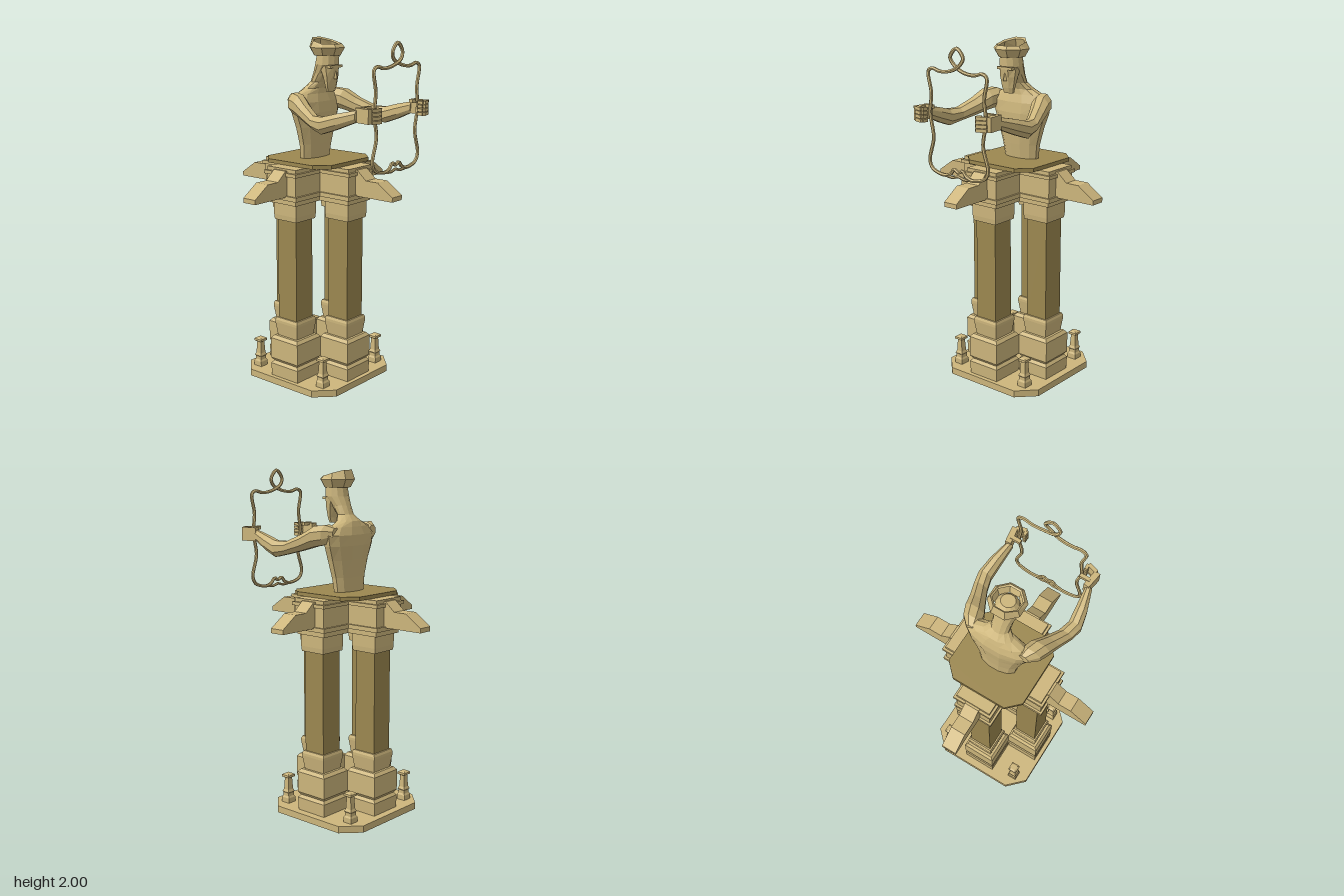
import * as THREE from 'three';

const light = new THREE.MeshStandardMaterial({ color: 0xcdb67c, flatShading: true, side: THREE.DoubleSide });
const dark = new THREE.MeshStandardMaterial({ color: 0x9c8850, flatShading: true, side: THREE.DoubleSide });

function add(parent, name, geometry, material = light, x = 0, y = 0, z = 0) {
  const mesh = new THREE.Mesh(geometry, material);
  mesh.name = name;
  mesh.position.set(x, y, z);
  parent.add(mesh);
  return mesh;
}

const box = (w, h, d) => new THREE.BoxGeometry(w, h, d);

// Square moulding from [halfWidth, y] pairs, bottom to top, closed at both ends
function squareTurned(profile) {
  const pts = profile.map(([r, y]) => new THREE.Vector2(r * Math.SQRT2, y));
  pts.unshift(new THREE.Vector2(0, pts[0].y));
  pts.push(new THREE.Vector2(0, pts[pts.length - 1].y));
  return new THREE.LatheGeometry(pts, 4).rotateY(Math.PI / 4);
}

// Flat slab: plan outline extruded upward
function slab(points, height) {
  const shape = new THREE.Shape(points.map(([x, z]) => new THREE.Vector2(x, z)));
  return new THREE.ExtrudeGeometry(shape, { depth: height, bevelEnabled: false }).rotateX(-Math.PI / 2);
}

const octagon = (w, d, c) => [[w - c, -d], [w, c - d], [w, d - c], [w - c, d], [c - w, d], [-w, d - c], [-w, c - d], [c - w, -d]];
const cross = (l, w) => [[w, -l], [w, -w], [l, -w], [l, w], [w, w], [w, l], [-w, l], [-w, w], [-l, w], [-l, -w], [-w, -w], [-w, -l]];

// Skin over elliptical rings [along, c1, c2, r1, r2]; rings lie across y or z
function loft(rings, axis, sides = 10) {
  const pos = [], idx = [];
  const put = (along, u, v) => (axis === 'y' ? pos.push(u, along, v) : pos.push(u, v, along));
  for (const [a, c1, c2, r1, r2] of rings) {
    for (let i = 0; i < sides; i++) {
      const t = (i + 0.5) / sides * Math.PI * 2;
      const s = Math.sin(t), c = Math.cos(t);
      put(a, c1 + r1 * (axis === 'y' ? s : c), c2 + r2 * (axis === 'y' ? c : s));
    }
  }
  const n = rings.length;
  for (const end of [rings[0], rings[n - 1]]) put(end[0], end[1], end[2]);
  for (let i = 0; i < sides; i++) {
    const j = (i + 1) % sides;
    for (let k = 0; k < n - 1; k++) {
      const a = k * sides + i, b = k * sides + j;
      idx.push(a, b, b + sides, a, b + sides, a + sides);
    }
    idx.push(n * sides, j, i, n * sides + 1, (n - 1) * sides + i, (n - 1) * sides + j);
  }
  const g = new THREE.BufferGeometry();
  g.setAttribute('position', new THREE.Float32BufferAttribute(pos, 3));
  g.setIndex(idx);
  g.computeVertexNormals();
  return g;
}

function buildPedestal() {
  const g = new THREE.Group();
  g.name = 'pedestal';
  add(g, 'basePlate', slab(octagon(0.34, 0.34, 0.1), 0.04), light, 0.01, 0, -0.02);

  // Four columns in a plus arrangement
  const plinth = squareTurned([[0.1, 0.04], [0.103, 0.115], [0.09, 0.132], [0.103, 0.15], [0.103, 0.272], [0.088, 0.29]]);
  const foot = squareTurned([[0.073, 0.29], [0.084, 0.37], [0.084, 0.385], [0.078, 0.4]]);
  const capital = squareTurned([[0.081, 0.99], [0.084, 1.02], [0.084, 1.09]]);
  for (let i = 0; i < 4; i++) {
    const a = i * Math.PI / 2;
    const column = new THREE.Group();
    column.name = 'column';
    column.position.set(Math.sin(a) * 0.205, 0, Math.cos(a) * 0.205 - 0.01);
    add(column, 'columnPlinth', plinth);
    add(column, 'columnFoot', foot);
    add(column, 'columnShaft', box(0.138, 0.6, 0.138), dark, 0, 0.695, 0);
    add(column, 'columnCapital', capital);
    g.add(column);
  }

  // Small posts at the diagonal corners of the base
  const post = squareTurned([[0.028, 0.04], [0.028, 0.07], [0.022, 0.08], [0.022, 0.1], [0.026, 0.105],
    [0.019, 0.12], [0.015, 0.19], [0.027, 0.197], [0.027, 0.21], [0.016, 0.217]]);
  for (const sx of [-1, 1]) for (const sz of [-1, 1]) add(g, 'cornerPost', post, light, sx * 0.245 + 0.007, 0, sz * 0.245 - 0.02);

  // Stacked cross-shaped courses: [bottom, top, arm length, arm half width]
  const courses = [[1.09, 1.12, 0.305, 0.1], [1.12, 1.145, 0.326, 0.12], [1.145, 1.255, 0.314, 0.108],
    [1.255, 1.275, 0.326, 0.12], [1.275, 1.296, 0.312, 0.106]];
  for (const [y0, y1, l, w] of courses) add(g, 'crossCourse', slab(cross(l, w), y1 - y0), light, 0, y0, -0.015);

  // Stepped brackets, one on each arm end
  const outline = [[0.2, 1.138], [0.567, 1.138], [0.567, 1.164], [0.466, 1.233], [0.386, 1.233], [0.325, 1.286], [0.2, 1.286]];
  const bracket = new THREE.ExtrudeGeometry(new THREE.Shape(outline.map(([x, y]) => new THREE.Vector2(x, y))),
    { depth: 0.088, bevelEnabled: false }).translate(0, 0, -0.044);
  for (let i = 0; i < 4; i++) {
    const m = add(g, 'bracket', bracket, light, 0, 0, -0.015);
    m.rotation.y = i * Math.PI / 2;
  }
  add(g, 'topPlate', slab(octagon(0.24, 0.24, 0.075), 0.022), dark, 0.007, 1.296, -0.02);
  return g;
}

function buildArm(side) {
  const g = new THREE.Group();
  g.name = side > 0 ? 'leftArm' : 'rightArm';
  const rings = [[-0.075, 0.16, 1.65, 0.03, 0.035], [-0.03, 0.18, 1.645, 0.058, 0.06], [0.03, 0.2, 1.635, 0.062, 0.062],
    [0.1, 0.228, 1.6, 0.052, 0.05], [0.19, 0.265, 1.565, 0.045, 0.04], [0.26, 0.282, 1.557, 0.042, 0.05],
    [0.35, 0.27, 1.585, 0.036, 0.046], [0.46, 0.247, 1.62, 0.022, 0.034]];
  add(g, 'arm', loft(rings.map(([a, x, y, r, s]) =>
    [a, side * x + 0.012 * Math.max(0, a), y, r, s]), 'z', 8));

  // Fist closed around the frame
  const hand = new THREE.Group();
  hand.name = 'hand';
  hand.position.set(side * 0.25 + 0.015, 1.625, 0.5);
  add(hand, 'palm', box(0.034, 0.078, 0.1), light, 0, 0, 0).rotation.y = side * 0.15;
  for (let i = 0; i < 4; i++) {
    const y = (i - 1.5) * 0.021;
    add(hand, 'finger', box(0.06, 0.018, 0.022), light, -side * 0.028, y, 0.058).rotation.y = side * 0.3;
    add(hand, 'fingertip', box(0.018, 0.017, 0.032), light, -side * 0.058, y, 0.05);
  }
  add(hand, 'thumb', box(0.06, 0.02, 0.022), light, -side * 0.035, 0.035, -0.012);
  g.add(hand);
  return g;
}

function buildFigure() {
  const g = new THREE.Group();
  g.name = 'figure';
  // Torso, neck and skull as one skin
  add(g, 'body', loft([[1.31, 0.012, -0.045, 0.115, 0.052], [1.4, 0.012, -0.04, 0.128, 0.06], [1.5, 0.012, -0.038, 0.158, 0.07],
    [1.58, 0.012, -0.042, 0.188, 0.075], [1.64, 0.012, -0.045, 0.2, 0.07], [1.685, 0.012, -0.045, 0.155, 0.056],
    [1.715, 0.012, -0.04, 0.088, 0.05], [1.75, 0.012, -0.016, 0.053, 0.043], [1.8, 0.012, 0.012, 0.055, 0.052],
    [1.85, 0.012, 0.045, 0.068, 0.067], [1.9, 0.012, 0.05, 0.065, 0.062], [1.93, 0.012, 0.055, 0.04, 0.038]], 'y', 12));

  // Tapering face with brow and nose ridge
  add(g, 'face', loft([[1.7, 0.012, 0.07, 0.034, 0.016], [1.73, 0.012, 0.073, 0.043, 0.022],
    [1.79, 0.012, 0.07, 0.056, 0.037], [1.845, 0.012, 0.06, 0.064, 0.056]], 'y', 8));
  add(g, 'brow', box(0.104, 0.014, 0.03), light, 0.012, 1.84, 0.097);
  add(g, 'nose', new THREE.ConeGeometry(0.014, 0.06, 4), light, 0.012, 1.8, 0.105);

  // Open flared headband, rising at the back
  const bandPts = [[0.078, 1.9], [0.104, 1.945], [0.086, 1.965], [0.076, 1.958], [0.09, 1.942], [0.07, 1.9]];
  const band = new THREE.LatheGeometry(bandPts.map(([r, y]) => new THREE.Vector2(r, y)), 8).rotateY(Math.PI / 8);
  const p = band.attributes.position;
  for (let i = 0; i < p.count; i++) {
    if (p.getY(i) > 1.95) p.setY(i, p.getY(i) + 0.03 * Math.max(0, 0.2 - p.getZ(i) / 0.09));
  }
  add(g, 'headband', band, light, 0.01, 0, 0.045);
  g.add(buildArm(1), buildArm(-1));
  return g;
}

// Slender closed frame with a knot loop on top and a curled lower edge
function buildFrame() {
  const half = [[0.045, 1.94], [0.022, 1.9], [-0.045, 1.868], [-0.12, 1.86], [-0.175, 1.872], [-0.204, 1.855],
    [-0.186, 1.74], [-0.197, 1.63], [-0.176, 1.5], [-0.208, 1.37], [-0.187, 1.327], [-0.1, 1.303], [-0.055, 1.318], [-0.03, 1.345]];
  const pts = [[0, 1.988], ...half, [0, 1.33], ...half.map(([x, y]) => [-x, y]).reverse()];
  const path = new THREE.CatmullRomCurve3(pts.map(([x, y], i) =>
    new THREE.Vector3(x + 0.03, y, 0.515 + (i === 2 ? 0.006 : i === pts.length - 2 ? -0.006 : 0))), true, 'centripetal');
  const g = new THREE.Group();
  g.name = 'heldFrame';
  add(g, 'frameRod', new THREE.TubeGeometry(path, 160, 0.01, 6, true));
  const lower = new THREE.CatmullRomCurve3([[-0.1, 1.303], [-0.04, 1.298], [0, 1.308], [0.04, 1.298], [0.1, 1.303]].map(([x, y]) =>
    new THREE.Vector3(x + 0.03, y, 0.515)));
  add(g, 'lowerRod', new THREE.TubeGeometry(lower, 20, 0.008, 6));
  return g;
}

export function createModel() {
  const model = new THREE.Group();
  model.name = 'statueOnPedestal';
  model.add(buildPedestal(), buildFigure(), buildFrame());
  return model;
}
